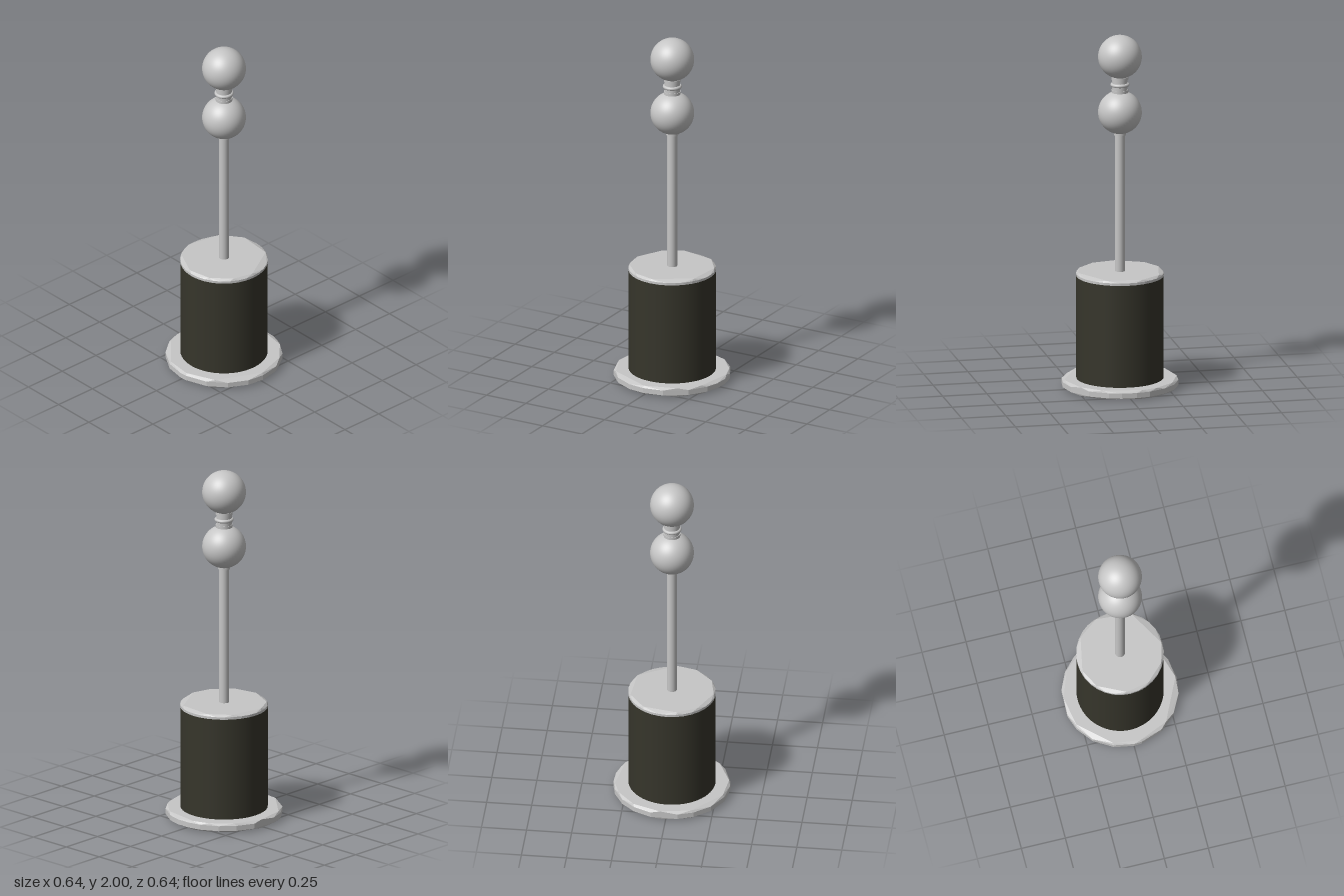
import * as THREE from 'three';
import { ConvexGeometry } from 'three/addons/geometries/ConvexGeometry.js';

const metal = new THREE.MeshStandardMaterial({ color: 0xc6c6c6 });
metal.name = 'pale metal';
const dark = new THREE.MeshStandardMaterial({ color: 0x36352b });
dark.name = 'dark drum';

// Ring of [x, y, z] points on a circle, at angles in degrees from +x towards +z
const ring = (angles, radius, y) => angles.map((a) => {
  const t = THREE.MathUtils.degToRad(a);
  return new THREE.Vector3(Math.cos(t) * radius, y, Math.sin(t) * radius);
});

export function createModel() {
  const group = new THREE.Group();
  const add = (name, geometry, material, y = 0) => {
    const mesh = new THREE.Mesh(geometry, material);
    mesh.name = name;
    mesh.position.y = y;
    group.add(mesh);
    return mesh;
  };

  // Roughly faceted foot: irregular rim with smaller polygons above and below
  const footRim = [0, 17, 38, 59, 82, 90, 110, 132, 152, 168, 195, 214, 232, 251, 265, 280, 293, 314, 339];
  const footFace = [0, 50.5, 83, 110.5, 154, 185.5, 216, 242, 259, 299.5, 325.5];
  add('foot', new ConvexGeometry([
    ...ring(footFace, 0.315, 0.055),
    ...ring(footRim, 0.323, 0.043),
    ...ring(footRim, 0.323, 0.014),
    ...ring(footFace, 0.312, 0.005),
  ]), metal);
  add('footUnderside', new THREE.CylinderGeometry(0.28, 0.28, 0.01, 11), metal, 0.005);

  // Dark drum
  add('drum', new THREE.CylinderGeometry(0.241, 0.241, 0.58, 64, 1, true), dark, 0.345);

  // Faceted lid on the drum
  const lidRim = Array.from({ length: 32 }, (_, i) => i * 11.25);
  const lidFace = [0, 29, 62, 95, 137, 166, 216, 250, 299.5];
  add('lid', new ConvexGeometry([
    ...ring(lidFace, 0.235, 0.66),
    ...ring(lidRim, 0.242, 0.649),
    ...ring(lidRim, 0.242, 0.635),
  ]), metal);

  // Rod with a small collar under the lower ball
  add('rod', new THREE.CylinderGeometry(0.028, 0.028, 0.82, 32), metal, 1.05);
  add('rodCollar', new THREE.CylinderGeometry(0.034, 0.034, 0.02, 32), metal, 1.444);

  // Two balls joined by a ringed neck
  for (const [name, y] of [['lowerBall', 1.563], ['upperBall', 1.879]]) {
    add(name, new THREE.SphereGeometry(0.121, 48, 32), metal, y);
  }
  add('neck', new THREE.CylinderGeometry(0.043, 0.043, 0.14, 32), metal, 1.72);
  add('neckRing', new THREE.TorusGeometry(0.043, 0.01, 12, 40), metal, 1.72).rotation.x = Math.PI / 2;
  for (const y of [1.684, 1.757]) {
    add('neckCollar', new THREE.CylinderGeometry(0.046, 0.046, 0.016, 32), metal, y);
  }
  return group;
}
